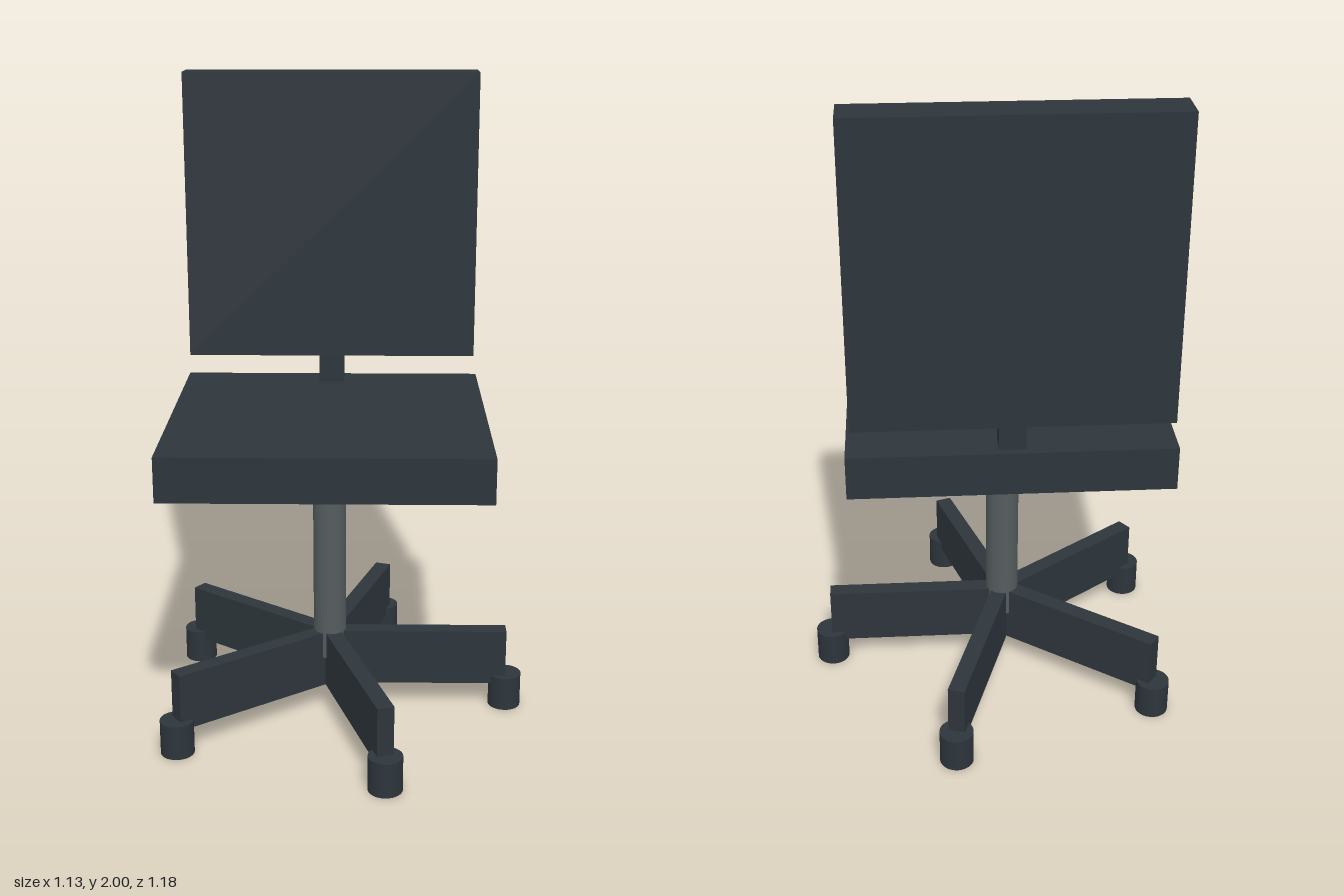
import * as THREE from 'three';

export function createModel() {
  const dark = new THREE.MeshStandardMaterial({ color: 0x2d353b });
  dark.name = 'charcoal';
  const grey = new THREE.MeshStandardMaterial({ color: 0x555c5e });
  grey.name = 'steel grey';

  const model = new THREE.Group();
  model.name = 'officeChair';
  const axisX = -0.056; // the column stands slightly off centre

  function add(parent, name, geometry, material, x, y, z) {
    const mesh = new THREE.Mesh(geometry, material);
    mesh.name = name;
    mesh.position.set(x, y, z);
    parent.add(mesh);
    return mesh;
  }

  // Seat, backrest and the short bracket joining them
  add(model, 'seat', new THREE.BoxGeometry(0.958, 0.135, 0.905), dark, axisX, 0.9375, 0.0425);
  add(model, 'backrest', new THREE.BoxGeometry(0.926, 0.905, 0.122), dark, axisX, 1.5475, -0.359);
  add(model, 'backBracket', new THREE.BoxGeometry(0.08, 0.11, 0.08), dark, axisX, 1.05, -0.347);

  // Gas column
  add(model, 'column', new THREE.CylinderGeometry(0.052, 0.052, 0.7, 32), grey, axisX, 0.53, 0);

  // Five-spoke base with a caster under each spoke end
  const base = new THREE.Group();
  base.name = 'base';
  base.position.x = axisX;
  model.add(base);
  const reach = 0.568;
  const legGeometry = new THREE.BoxGeometry(reach, 0.182, 0.052);
  const casterGeometry = new THREE.CylinderGeometry(0.052, 0.052, 0.11, 32);
  for (let i = 0; i < 5; i++) {
    const spoke = new THREE.Group();
    spoke.name = `spoke${i + 1}`;
    spoke.rotation.y = (i * Math.PI * 2) / 5;
    add(spoke, 'leg', legGeometry, dark, reach / 2, 0.173, 0);
    add(spoke, 'caster', casterGeometry, dark, reach, 0.055, 0);
    base.add(spoke);
  }

  return model;
}
